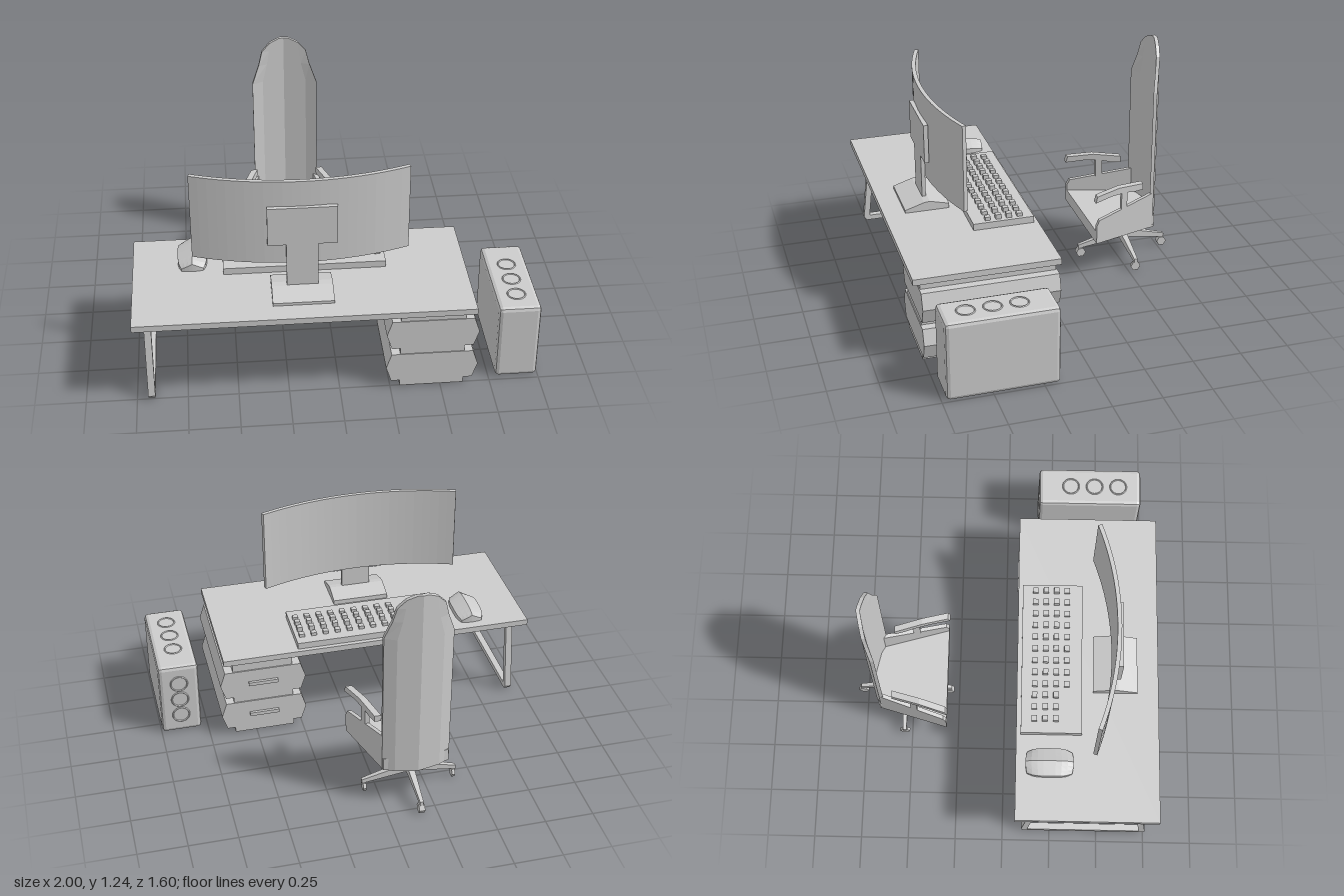
import * as THREE from 'three';
import { RoundedBoxGeometry } from 'three/addons/geometries/RoundedBoxGeometry.js';

const mat = new THREE.MeshStandardMaterial({ color: 0xcccccc, flatShading: true });

export function createModel() {
  const root = new THREE.Group();

  const add = (name, geo, x = 0, y = 0, z = 0, parent = root) => {
    const m = new THREE.Mesh(geo, mat);
    m.name = name;
    m.position.set(x, y, z);
    parent.add(m);
    return m;
  };
  // box given by its limits
  const box = (name, x0, x1, y0, y1, z0, z1, parent = root) =>
    add(name, new THREE.BoxGeometry(x1 - x0, y1 - y0, z1 - z0),
      (x0 + x1) / 2, (y0 + y1) / 2, (z0 + z1) / 2, parent);
  const extrude = (pts, depth) => new THREE.ExtrudeGeometry(
    new THREE.Shape(pts.map(p => new THREE.Vector2(...p))), { depth, bevelEnabled: false });
  // side profile of (z, y) points, extruded across x and centred
  const across = (pts, width) => extrude(pts, width).translate(0, 0, -width / 2).rotateY(-Math.PI / 2);
  // plan of (x, z) points, extruded upwards
  const upward = (pts, height) => extrude(pts.map(([x, z]) => [x, -z]), height).rotateX(-Math.PI / 2);
  // move every vertex by a rule
  const warp = (geo, rule) => {
    const p = geo.attributes.position, v = new THREE.Vector3();
    for (let i = 0; i < p.count; i++) {
      rule(v.fromBufferAttribute(p, i));
      p.setXYZ(i, v.x, v.y, v.z);
    }
    geo.computeVertexNormals();
    return geo;
  };

  // desk with a splayed U-shaped leg frame
  box('deskTop', -1, 0.662, 0.453, 0.485, 0.065, 0.8);
  add('deskLegFrame', across([[0.15, 0.455], [0.1, 0.03], [0.115, 0.01], [0.745, 0.01], [0.76, 0.03],
    [0.71, 0.455], [0.678, 0.455], [0.727, 0.038], [0.133, 0.038], [0.182, 0.455]], 0.035), -0.928);

  // drawer unit: core with two six-sided drawers and handles
  box('drawerCore', 0.297, 0.615, 0.01, 0.453, 0.08, 0.757);
  for (const y of [0.322, 0.125]) {
    add('drawer', extrude([[-0.202, -0.08], [0.202, -0.08], [0.228, 0], [0.202, 0.08],
      [-0.202, 0.08], [-0.228, 0]], 0.687), 0.456, y, 0.074);
    box('drawerHandle', 0.378, 0.534, y - 0.01, y + 0.01, 0.06, 0.075);
  }

  // computer tower with fan rings on the top and the rear
  add('towerCase', new RoundedBoxGeometry(0.212, 0.412, 0.558, 1, 0.02), 0.89, 0.214, 0.448);
  for (let i = 0; i < 3; i++) {
    const ring = () => new THREE.TorusGeometry(0.044, 0.004, 4, 24);
    add('topFan', ring().rotateX(Math.PI / 2), 0.89, 0.42, 0.343 + i * 0.13);
    add('rearFan', ring(), 0.89, 0.113 + i * 0.1, 0.169);
  }

  // curved monitor screen
  const screen = [], R = 1.526, half = 0.355, n = 24;
  for (let i = 0; i <= n; i++) {
    const a = -half + 2 * half * i / n;
    screen.push([R * Math.sin(a), R * Math.cos(a)]);
  }
  for (let i = n; i >= 0; i--) {
    const a = -half + 2 * half * i / n;
    screen.push([(R - 0.021) * Math.sin(a), (R - 0.021) * Math.cos(a)]);
  }
  add('monitorScreen', upward(screen, 0.455), -0.168, 0.65, 0.567 - R);
  // monitor stand
  box('monitorBackPlate', -0.335, 0.003, 0.765, 0.97, 0.562, 0.585);
  box('monitorNeck', -0.245, -0.09, 0.52, 0.77, 0.565, 0.585);
  add('monitorBase', across([[0.46, 0.485], [0.46, 0.51], [0.56, 0.535], [0.59, 0.532],
    [0.69, 0.5], [0.69, 0.485]], 0.3), -0.17);

  // keyboard: a main block of keys and a small side block
  box('keyboardBody', -0.55, 0.262, 0.485, 0.52, 0.088, 0.402);
  for (let row = 0; row < 4; row++) {
    for (let col = 0; col < 12; col++) {
      if (col < 3 && row === 3) continue;
      const x = col < 3 ? -0.476 + col * 0.063 : -0.29 + (col - 3) * 0.0647;
      const z = 0.156 + row * 0.0553;
      box('key', x - 0.014, x + 0.014, 0.518, row % 3 ? 0.545 : 0.538, z - 0.014, z + 0.014);
    }
  }

  // mouse: a box rounded in plan with a domed top
  add('mouse', warp(new THREE.BoxGeometry(2, 1, 2, 6, 2, 8), v => {
    const u = v.x, w = v.z;
    const top = 0.025 + 0.03 * (1 - Math.abs(u)) + 0.004 * (1 - w * w) - 0.012 * w ** 4;
    v.x = u * 0.073 * (1 - 0.25 * w ** 4);
    v.z = w * 0.123 * (1 - 0.06 * u * u);
    v.y = (v.y + 0.5) * top;
  }), -0.702, 0.485, 0.238);

  // office chair
  const chair = new THREE.Group();
  chair.name = 'chair';
  chair.position.x = -0.171;
  root.add(chair);
  // half width of the tapering seat at a given depth
  const seatHalf = z => 0.2725 + (z + 0.305) * 0.288;

  const zb = -0.665;
  add('seat', upward([[-seatHalf(-0.305), -0.305], [seatHalf(-0.305), -0.305],
    [seatHalf(zb), zb], [0, -0.7], [-seatHalf(zb), zb]], 0.068), 0, 0.217, 0, chair);

  for (const s of [-1, 1]) {
    // side parts follow the taper of the seat
    const side = (name, pts, width, inset) => add(name,
      warp(across(pts, width), v => { v.x += s * (seatHalf(v.z) - inset); }), 0, 0, 0, chair);
    side('seatBolster', [[-0.305, 0.217], [-0.305, 0.32], [-0.32, 0.35], [-0.65, 0.42], [-0.66, 0.217]], 0.022, 0.011);
    side('armrestPost', [[-0.455, 0.33], [-0.455, 0.48], [-0.49, 0.48], [-0.49, 0.33]], 0.024, 0.012);
    side('armrest', [[-0.295, 0.46], [-0.305, 0.495], [-0.44, 0.51], [-0.585, 0.497], [-0.585, 0.463],
      [-0.53, 0.463], [-0.48, 0.474], [-0.39, 0.474]], 0.034, 0.014);
  }

  // tall backrest, folded around the sitter and rounded at the top: [height, half width]
  const levels = [[0.215, 0.173], [1.0, 0.173], [1.1, 0.137], [1.176, 0.118], [1.222, 0.075], [1.244, 0.025]];
  const last = levels.length - 1;
  add('backrest', warp(new THREE.BoxGeometry(2, 1, 0.02, 6, last, 1), v => {
    const [y, h] = levels[Math.round((v.y + 0.5) * last)];
    v.x *= h;
    v.y = y;
    const d = Math.abs(v.x);
    v.z += -0.7 + d * 0.21 + Math.max(0, d - 0.115) * 0.32;
  }), 0, 0, 0, chair);

  // post and four-legged base with castors
  const base = new THREE.Group();
  base.name = 'chairBase';
  base.position.z = -0.54;
  chair.add(base);
  add('chairPost', new THREE.CylinderGeometry(0.021, 0.021, 0.13, 12), 0, 0.155, 0, base);
  add('chairHub', new THREE.CylinderGeometry(0.028, 0.02, 0.05, 8), 0, 0.112, 0, base);
  for (let i = 0; i < 4; i++) {
    const a = i * Math.PI / 2;
    const leg = warp(across([[0, 0.09], [0, 0.135], [0.03, 0.135], [0.248, 0.075],
      [0.248, 0.053], [0.03, 0.09]], 0.036), v => { v.x *= 1 - 2 * v.z; });
    add('chairLeg', leg, 0, 0, 0, base).rotation.y = a;
    add('castor', new THREE.CylinderGeometry(0.027, 0.027, i % 2 ? 0.016 : 0.03, 6).rotateZ(Math.PI / 2),
      0.235 * Math.sin(a), 0.03, 0.235 * Math.cos(a), base);
  }
  return root;
}
